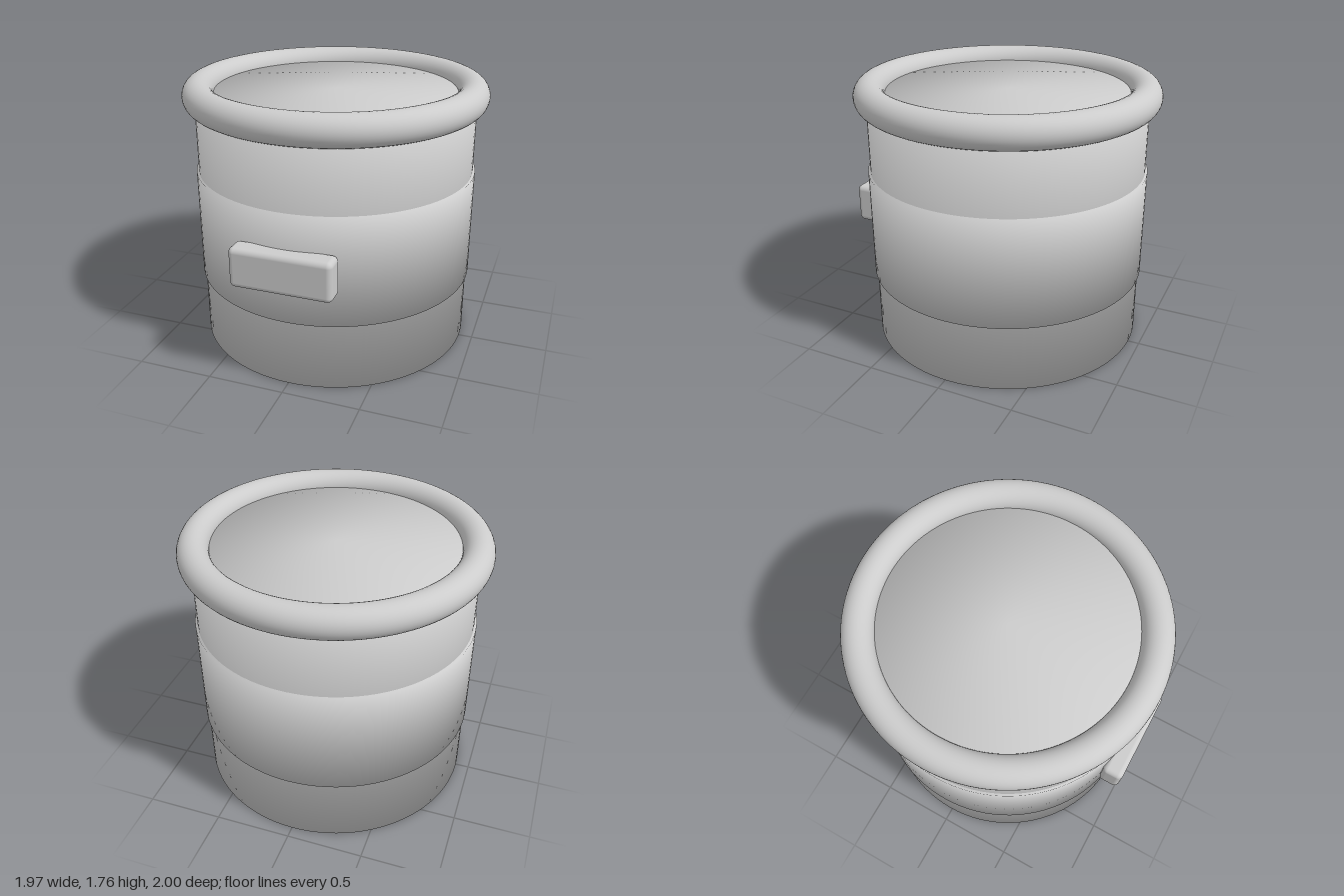
import * as THREE from 'three';
import { RoundedBoxGeometry } from 'three/addons/geometries/RoundedBoxGeometry.js';

const CENTRE_Z = -0.015;

// Closed drum from y0 to y1 whose normals run smoothly over the rims
function softDrum(radius, y0, y1) {
  const geometry = new THREE.CylinderGeometry(radius, radius, y1 - y0, 96);
  const { position, normal } = geometry.attributes;
  for (let i = 0; i < position.count; i++) {
    normal.setXYZ(
      i,
      Math.SQRT1_2 * position.getX(i) / radius,
      Math.SQRT1_2 * Math.sign(position.getY(i)),
      Math.SQRT1_2 * position.getZ(i) / radius,
    );
  }
  return geometry.translate(0, (y0 + y1) / 2, CENTRE_Z);
}

export function createModel() {
  const group = new THREE.Group();
  const grey = new THREE.MeshStandardMaterial({ color: 0xcccccc });
  grey.name = 'light grey';

  function add(name, geometry) {
    const mesh = new THREE.Mesh(geometry, grey);
    mesh.name = name;
    group.add(mesh);
  }

  // Main drum, closed at the base and just inside the rim
  add('body', softDrum(0.91, 0, 1.675));

  // Slightly wider sleeve around the middle
  add('band', softDrum(0.925, 0.45, 1.165));

  // Thick rounded ring around the top
  add('rim', new THREE.TorusGeometry(0.885, 0.1, 32, 128)
    .rotateX(-Math.PI / 2)
    .translate(0, 1.665, CENTRE_Z));

  // Rounded plate sunk into the front of the band
  add('frontPlate', new RoundedBoxGeometry(0.65, 0.26, 0.14, 5, 0.035)
    .translate(0, 0.81, 0.93));

  return group;
}
